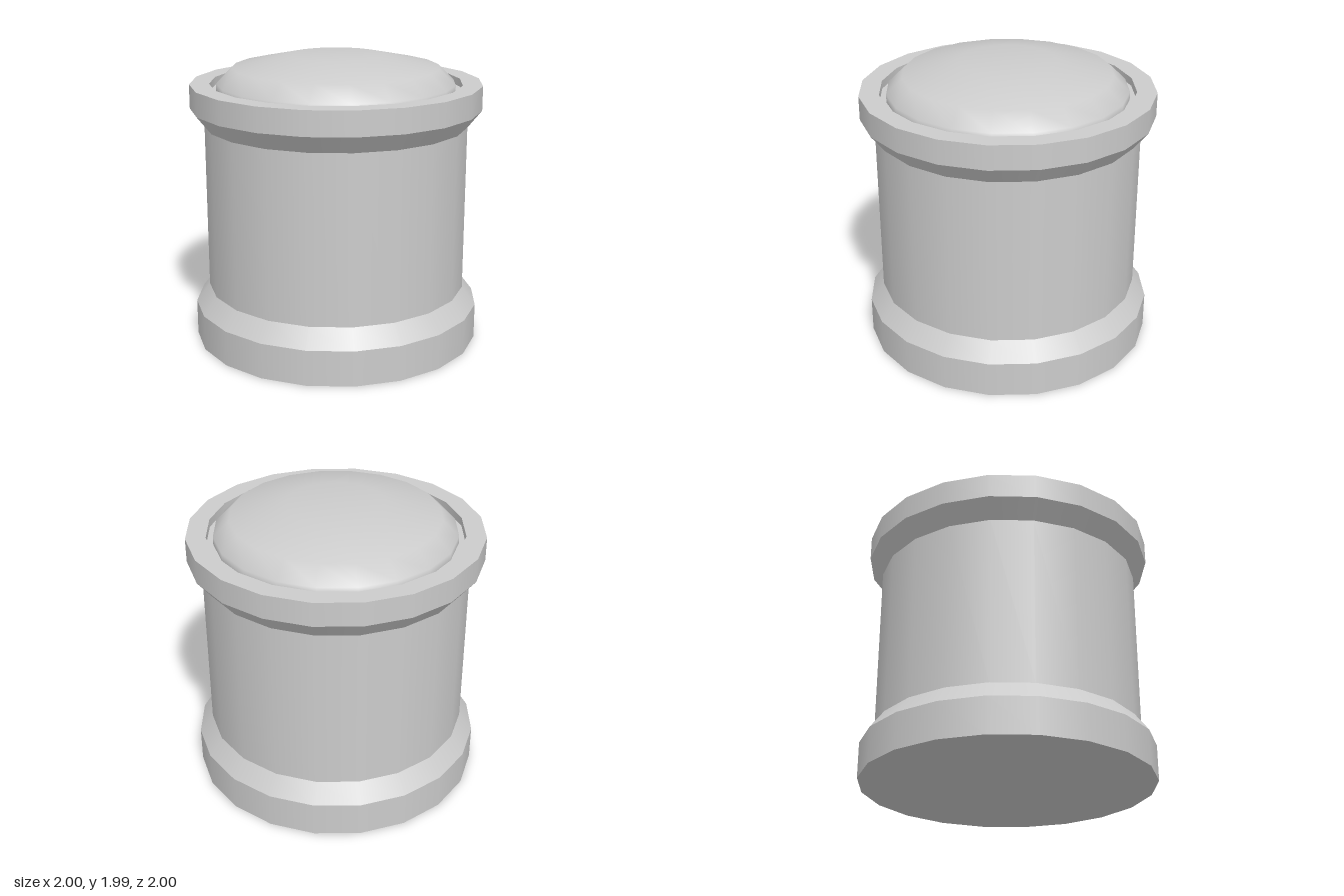
import * as THREE from 'three';

const SIDES = 20;

export function createModel() {
  const group = new THREE.Group();
  const material = new THREE.MeshStandardMaterial({ color: 0xcccccc });

  const lathe = (name, profile, parent) => {
    const points = profile.map(([r, y]) => new THREE.Vector2(r, y));
    const mesh = new THREE.Mesh(new THREE.LatheGeometry(points, SIDES), material);
    mesh.name = name;
    parent.add(mesh);
  };

  // One lathe per band keeps the rings crisp while the sides stay smooth
  const bands = (name, profile) => {
    const part = new THREE.Group();
    part.name = name;
    for (let i = 0; i < profile.length - 1; i++) {
      lathe(`${name}Band${i + 1}`, [profile[i], profile[i + 1]], part);
    }
    group.add(part);
  };

  // Closed underside, plinth and its bevel
  bands('base', [[0, 0], [1, 0], [1, 0.245], [0.905, 0.37]]);

  // Straight drum
  bands('body', [[0.905, 0.37], [0.905, 1.52]]);

  // Flared collar, flat rim and the narrow groove around the lid
  bands('rim', [[0.905, 1.52], [1, 1.64], [1, 1.805], [0.865, 1.805], [0.865, 1.75], [0.818, 1.75]]);

  // Softly shaded domed lid
  lathe('lid', [[0.818, 1.75], [0.818, 1.805], [0.71, 1.91], [0.33, 1.99], [0, 1.99]], group);

  return group;
}
